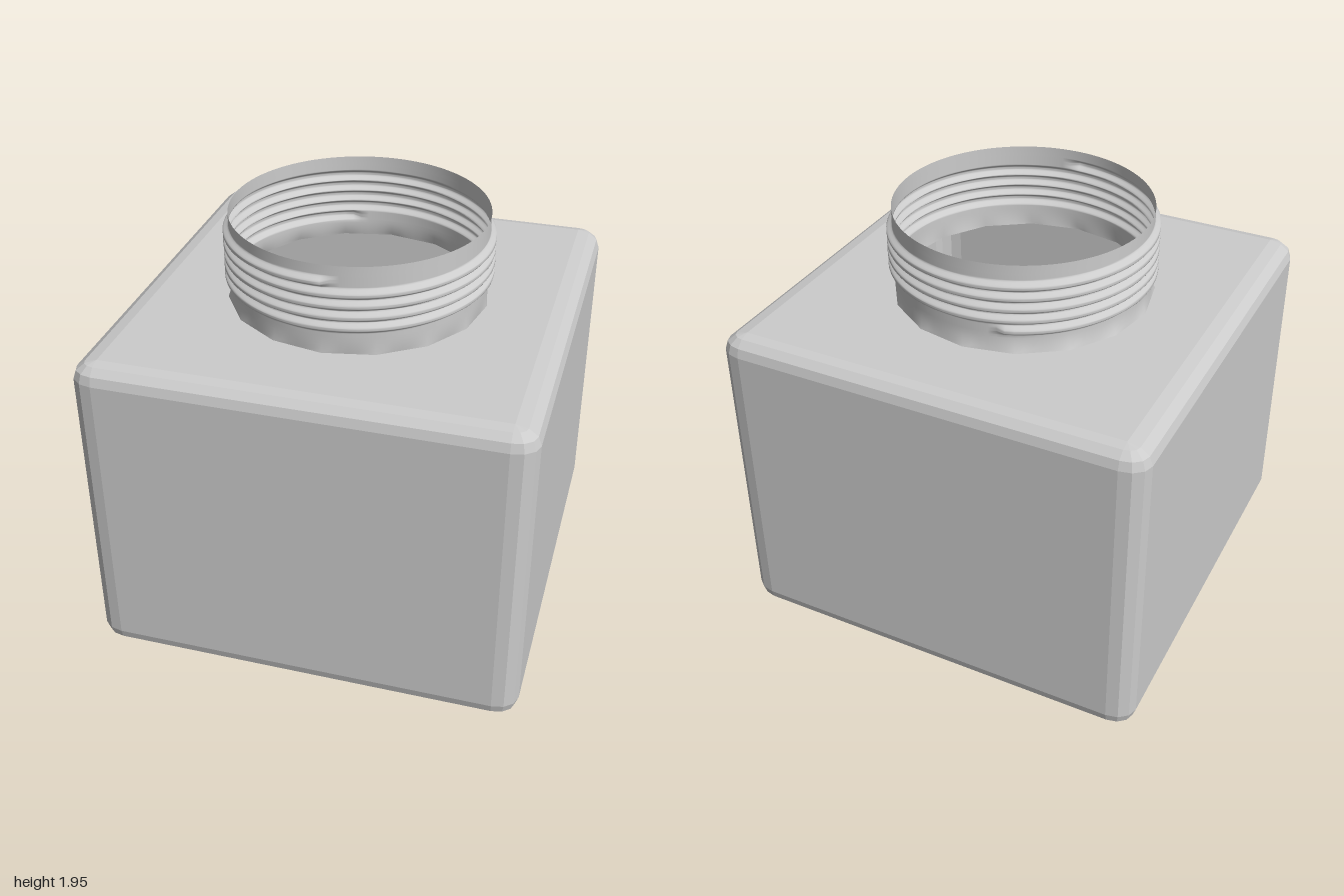
import * as THREE from 'three';

const TAU = Math.PI * 2;

// Closed band of quads: rows run upward, columns run around; pointAt(row, col) gives [x, y, z]
function band(rows, cols, pointAt) {
  const pos = [], idx = [];
  for (let j = 0; j < rows; j++) {
    for (let i = 0; i < cols; i++) pos.push(...pointAt(j, i));
  }
  for (let j = 0; j < rows - 1; j++) {
    for (let i = 0; i < cols; i++) {
      const n = (i + 1) % cols;
      const a = j * cols + i, b = j * cols + n, c = b + cols, d = a + cols;
      idx.push(a, b, c, a, c, d);
    }
  }
  const geo = new THREE.BufferGeometry();
  geo.setAttribute('position', new THREE.Float32BufferAttribute(pos, 3));
  geo.setIndex(idx);
  geo.computeVertexNormals();
  return geo;
}

function addPart(group, name, geometry, material) {
  const mesh = new THREE.Mesh(geometry, material);
  mesh.name = name;
  group.add(mesh);
  return mesh;
}

// Body dimensions and bevel radii
const BODY_H = 1.535, RX = 0.11, RY = 0.084, RZ = 0.088, SEG = 3;
// Neck dimensions
const MOUTH_R = 0.6, MOUTH_SIDES = 16, NECK_R = 0.587, NECK_SHIFT = 0.006;
const FLARE_TOP = 1.615, NECK_TOP = 1.95;
// Screw thread: one helical ridge that climbs to its end at the front
const PITCH = 0.0525, THREAD_END_Y = 1.875, THREAD_DEPTH = 0.026, HALF_WIDTH = 0.025;
const THREAD_START = -TAU * (4 + 163 / 360);

// Bevelled side walls, from the bottom bevel to the top bevel
function wallGeometry() {
  const levels = [];
  for (let s = 0; s <= SEG; s++) levels.push([-Math.PI / 2 + (s / SEG) * Math.PI / 2, RY]);
  for (let s = 0; s <= SEG; s++) levels.push([(s / SEG) * Math.PI / 2, BODY_H - RY]);
  const perCorner = SEG + 1;
  return band(levels.length, perCorner * 4, (j, i) => {
    const [tilt, y] = levels[j];
    const corner = Math.floor(i / perCorner);
    const angle = (corner + (i % perCorner) / SEG) * Math.PI / 2;
    const mid = (corner + 0.5) * Math.PI / 2;
    const out = Math.cos(tilt);
    return [
      Math.sign(Math.sin(mid)) * (1 - RX) + Math.sin(angle) * RX * out,
      y + Math.sin(tilt) * RY,
      Math.sign(Math.cos(mid)) * (1 - RZ) + Math.cos(angle) * RZ * out,
    ];
  });
}

// Flat panel between the bevels, optionally with the mouth cut out
function panelGeometry(withMouth) {
  const x = 1 - RX, z = 1 - RZ;
  const shape = new THREE.Shape();
  shape.moveTo(-x, -z).lineTo(x, -z).lineTo(x, z).lineTo(-x, z).closePath();
  if (withMouth) {
    const pts = [];
    for (let i = 0; i < MOUTH_SIDES; i++) {
      const a = -(i / MOUTH_SIDES) * TAU;
      pts.push(new THREE.Vector2(Math.cos(a) * MOUTH_R, Math.sin(a) * MOUTH_R));
    }
    shape.holes.push(new THREE.Path(pts));
  }
  return new THREE.ShapeGeometry(shape);
}

// Ridge height (0..1) of the thread at an angle and height
function ridge(theta, y) {
  let h = 0;
  for (let k = 0; k <= 5; k++) {
    const a = theta - TAU * k;
    if (a > 1e-6 || a < THREAD_START) continue;
    const d = Math.abs(y - (THREAD_END_Y + PITCH * a / TAU)) / HALF_WIDTH;
    h = Math.max(h, THREE.MathUtils.clamp(1.5 * (1 - d), 0, 1));
  }
  return h;
}

// Open neck: faceted foot flowing into a round threaded collar
function neckGeometry() {
  const heights = [];
  for (let s = 0; s < 6; s++) heights.push(BODY_H + (FLARE_TOP - BODY_H) * s / 6);
  for (let s = 0; s <= 64; s++) heights.push(FLARE_TOP + (1.905 - FLARE_TOP) * s / 64);
  heights.push(NECK_TOP);
  const cols = 96, facet = TAU / MOUTH_SIDES;
  return band(heights.length, cols, (j, i) => {
    const y = heights[j], theta = (i / cols) * TAU;
    const t = Math.min(1, (y - BODY_H) / (FLARE_TOP - BODY_H));
    const foot = (1 - t) ** 2;
    const footR = MOUTH_R * Math.cos(facet / 2) / Math.cos((theta % facet) - facet / 2);
    const r = THREE.MathUtils.lerp(NECK_R, footR, foot) + THREAD_DEPTH * ridge(theta, y);
    const shift = NECK_SHIFT * (1 - foot);
    return [Math.sin(theta) * r + shift, y, Math.cos(theta) * r + shift];
  });
}

export function createModel() {
  const model = new THREE.Group();
  model.name = 'squareJar';
  const flat = new THREE.MeshStandardMaterial({ color: 0xcccccc, flatShading: true, side: THREE.DoubleSide });
  const smooth = new THREE.MeshStandardMaterial({ color: 0xcccccc, side: THREE.DoubleSide });

  // Hollow body
  const body = new THREE.Group();
  body.name = 'body';
  model.add(body);
  addPart(body, 'walls', wallGeometry(), flat);
  const shoulder = addPart(body, 'shoulder', panelGeometry(true), flat);
  shoulder.rotation.x = -Math.PI / 2;
  shoulder.position.y = BODY_H;
  addPart(body, 'base', panelGeometry(false), flat).rotation.x = Math.PI / 2;

  // Threaded neck
  addPart(model, 'threadedNeck', neckGeometry(), smooth);
  return model;
}
